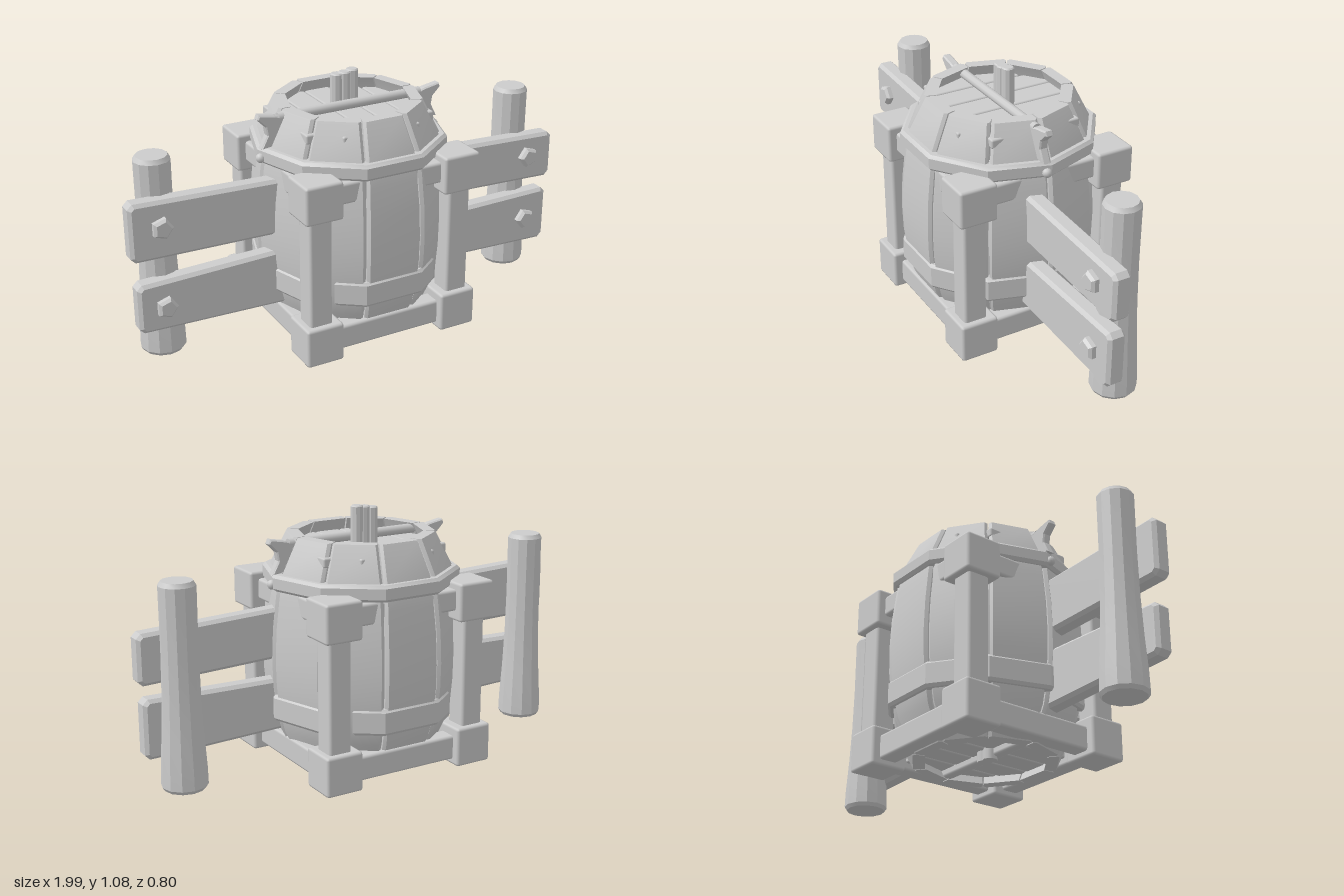
import * as THREE from 'three';
import { toCreasedNormals } from 'three/addons/utils/BufferGeometryUtils.js';
import { RoundedBoxGeometry } from 'three/addons/geometries/RoundedBoxGeometry.js';

const SIDES = 10;
const STEP = (Math.PI * 2) / SIDES;
const TAN = Math.tan(STEP / 2);
const COS = Math.cos(STEP / 2);

// Barrel outline: [height, distance from axis to the middle of a stave]
const PROFILE = [[0.02, 0.295], [0.16, 0.364], [0.25, 0.385], [0.36, 0.397], [0.47, 0.4],
  [0.6, 0.394], [0.72, 0.38], [0.83, 0.364], [0.97, 0.297]];

export function createModel() {
  const model = new THREE.Group();
  const grey = new THREE.MeshStandardMaterial({ color: 0xcccccc });

  function group(name) {
    const g = new THREE.Group();
    g.name = name;
    model.add(g);
    return g;
  }
  function add(parent, name, geometry, x = 0, y = 0, z = 0) {
    const mesh = new THREE.Mesh(geometry, grey);
    mesh.name = name;
    mesh.position.set(x, y, z);
    parent.add(mesh);
    return mesh;
  }
  const block = (w, h, d, r = 0.012) => new RoundedBoxGeometry(w, h, d, 1, r);
  const ring = (pts, sides, phase = 0) => toCreasedNormals(
    new THREE.LatheGeometry(pts.map(p => new THREE.Vector2(...p)), sides, phase), 0.5);
  const shapeOf = pts => new THREE.Shape(pts.map(p => new THREE.Vector2(...p)));

  // Bulging stave with softened long edges, bent from a box
  function staveGeometry() {
    const n = PROFILE.length - 1;
    const geo = new THREE.BoxGeometry(1, 1, 1, 3, n, 1);
    const p = geo.attributes.position;
    for (let i = 0; i < p.count; i++) {
      const [y, r] = PROFILE[Math.round((p.getY(i) + 0.5) * n)];
      const side = Math.sign(p.getX(i));
      const edge = Math.abs(p.getX(i)) > 0.4;
      const outer = p.getZ(i) > 0;
      const radius = outer ? r - (edge ? 0.014 : 0) : r - 0.05;
      p.setXYZ(i, side * (radius * TAN - (edge ? 0.003 : 0.016)), y, radius);
    }
    return toCreasedNormals(geo, 0.5);
  }

  // Barrel
  const barrel = group('barrel');
  const stave = staveGeometry();
  for (let i = 0; i < SIDES; i++) {
    add(barrel, 'stave', stave).rotation.y = i * STEP;
  }
  const core = PROFILE.slice(1, -1).map(([y, r]) => [(r - 0.03) / COS, y]);
  add(barrel, 'innerWall', ring(core, SIDES, STEP / 2));

  // Planked lid and base
  for (const y of [0.075, 0.9]) {
    for (let i = -2; i <= 2; i++) {
      const x = i * 0.118;
      const length = 2 * Math.sqrt(0.31 ** 2 - x * x);
      add(barrel, y > 0.5 ? 'lidPlank' : 'basePlank', block(0.114, 0.04, length, 0.008), x, y, 0);
    }
  }

  // Upper hoop with side studs
  const hoop = [[0.34, 0.76], [0.4, 0.76], [0.413, 0.772], [0.413, 0.816], [0.4, 0.828], [0.34, 0.828], [0.34, 0.76]];
  add(barrel, 'upperHoop', ring(hoop, SIDES, STEP / 2));
  for (const s of [-1, 1]) {
    add(barrel, 'hoopStud', new THREE.SphereGeometry(0.02, 10, 8), s * 0.408, 0.785, 0.02);
  }

  // Lower hoop: one bent piece in each bay of the frame
  function hoopPiece(degrees) {
    const point = (deg, apothem) => {
      const a = THREE.MathUtils.degToRad(deg);
      const off = ((a % STEP) + STEP) % STEP - STEP / 2;
      const r = apothem / Math.cos(off);
      return [r * Math.cos(a), r * Math.sin(a)];
    };
    const pts = [...degrees.map(d => point(d, 0.388)),
      ...[...degrees].reverse().map(d => point(d, 0.35))];
    const geo = new THREE.ExtrudeGeometry(shapeOf(pts),
      { depth: 0.086, bevelSize: 0.01, bevelThickness: 0.012, bevelSegments: 1 });
    return toCreasedNormals(geo.rotateX(-Math.PI / 2).translate(0, 0.222, 0), 0.5);
  }
  for (const turn of [0, Math.PI]) {
    add(barrel, 'lowerHoopSide', hoopPiece([-39, -36, 0, 36, 39])).rotation.y = turn;
    add(barrel, 'lowerHoopFace', hoopPiece([55, 72, 108, 125])).rotation.y = turn;
  }

  // Crossbar over the lid with a horn at each end
  const crossbar = group('crossbar');
  add(crossbar, 'bar', new THREE.CylinderGeometry(0.02, 0.02, 0.66, 10).rotateZ(Math.PI / 2), 0, 0.945, 0.022);
  const hornShape = shapeOf([[0.29, 0.935], [0.33, 0.84], [0.405, 0.83], [0.378, 0.88],
    [0.385, 0.92], [0.42, 0.955], [0.415, 0.967], [0.35, 0.955]]);
  const horn = new THREE.ExtrudeGeometry(hornShape,
    { depth: 0.026, bevelSize: 0.005, bevelThickness: 0.006, bevelSegments: 1 }).translate(0, 0, 0.009);
  add(crossbar, 'horn', horn);
  add(crossbar, 'horn', horn).rotation.y = Math.PI;
  crossbar.children[2].position.z = 0.044;

  // Bundle of sticks standing in the lid
  const sticks = group('sticks');
  for (const [x, z, top] of [[-0.038, -0.025, 1.07], [-0.005, -0.018, 1.075], [0.032, -0.022, 1.08]]) {
    const stick = [[0, 0.88], [0.026, 0.88], [0.026, top - 0.005], [0.021, top], [0, top]];
    add(sticks, 'stick', ring(stick, 10), x, 0, z);
  }

  // Bar and pegs under the base
  add(barrel, 'baseBar', block(0.56, 0.04, 0.05), 0, 0.045, 0.0);
  for (const x of [-0.055, -0.02]) {
    add(barrel, 'basePeg', new THREE.CylinderGeometry(0.03, 0.03, 0.06, 10), x, 0.042, -0.02);
  }

  // Square frame around the barrel
  const frame = group('frame');
  for (const sx of [-1, 1]) {
    for (const sz of [-1, 1]) {
      const x = sx * 0.314, z = sz * 0.314;
      add(frame, 'lowerCornerBlock', block(0.165, 0.168, 0.165), x, 0.084, z);
      add(frame, 'upperCornerBlock', block(0.165, 0.162, 0.165), x, 0.708, z);
      add(frame, 'post', block(0.1, 0.52, 0.1), sx * 0.32, 0.4, sz * 0.32);
    }
  }
  for (const s of [-1, 1]) {
    for (const [y, h] of [[0.077, 0.105], [0.715, 0.09]]) {
      add(frame, 'rail', block(0.52, h, 0.085), 0, y, s * 0.318);
      add(frame, 'rail', block(0.085, h, 0.52), s * 0.318, y, 0);
    }
  }

  // Fence wings: posts, tapered planks and five-sided bolts
  const wings = group('fenceWings');
  const pole = [[0, 0.022], [0.085, 0.022], [0.095, 0.037], [0.093, 0.11], [0.084, 0.25], [0.077, 0.42],
    [0.074, 0.6], [0.075, 0.852], [0.064, 0.87], [0, 0.87]];
  for (const x of [-0.848, 0.842]) add(wings, 'fencePost', ring(pole, 12), x, 0, -0.03);

  // Plank outlines: inner x, bottom, top; outer x, bottom, top
  const planks = [
    [-0.34, 0.468, 0.708, -0.998, 0.48, 0.728],
    [-0.34, 0.148, 0.396, -0.982, 0.165, 0.378],
    [0.34, 0.472, 0.686, 0.995, 0.45, 0.662],
    [0.34, 0.162, 0.382, 0.98, 0.142, 0.392],
  ];
  const b = 0.014;
  for (const [xi, bi, ti, xo, bo, to] of planks) {
    const s = Math.sign(xo), end = xo - s * b, c = 0.012;
    const outline = shapeOf([[xi, bi + b], [end - s * c, bo + b], [end, bo + b + c],
      [end, to - b - c], [end - s * c, to - b], [xi, ti - b]]);
    const geo = new THREE.ExtrudeGeometry(outline,
      { depth: 0.05, bevelSize: b, bevelThickness: b, bevelSegments: 1 });
    add(wings, 'fencePlank', toCreasedNormals(geo, 0.5), 0, 0, 0.031);
  }
  const boltShape = [[0, 0], [0.046, 0], [0.046, 0.028], [0.034, 0.04], [0, 0.04]];
  for (const [x, y] of [[-0.87, 0.615], [-0.87, 0.27], [0.86, 0.57], [0.86, 0.268]]) {
    const bolt = add(wings, 'bolt', ring(boltShape, 5).rotateX(Math.PI / 2), x, y, 0.085);
    bolt.rotation.z = x < 0 ? Math.PI / 2 : -Math.PI / 2;
  }

  return model;
}
